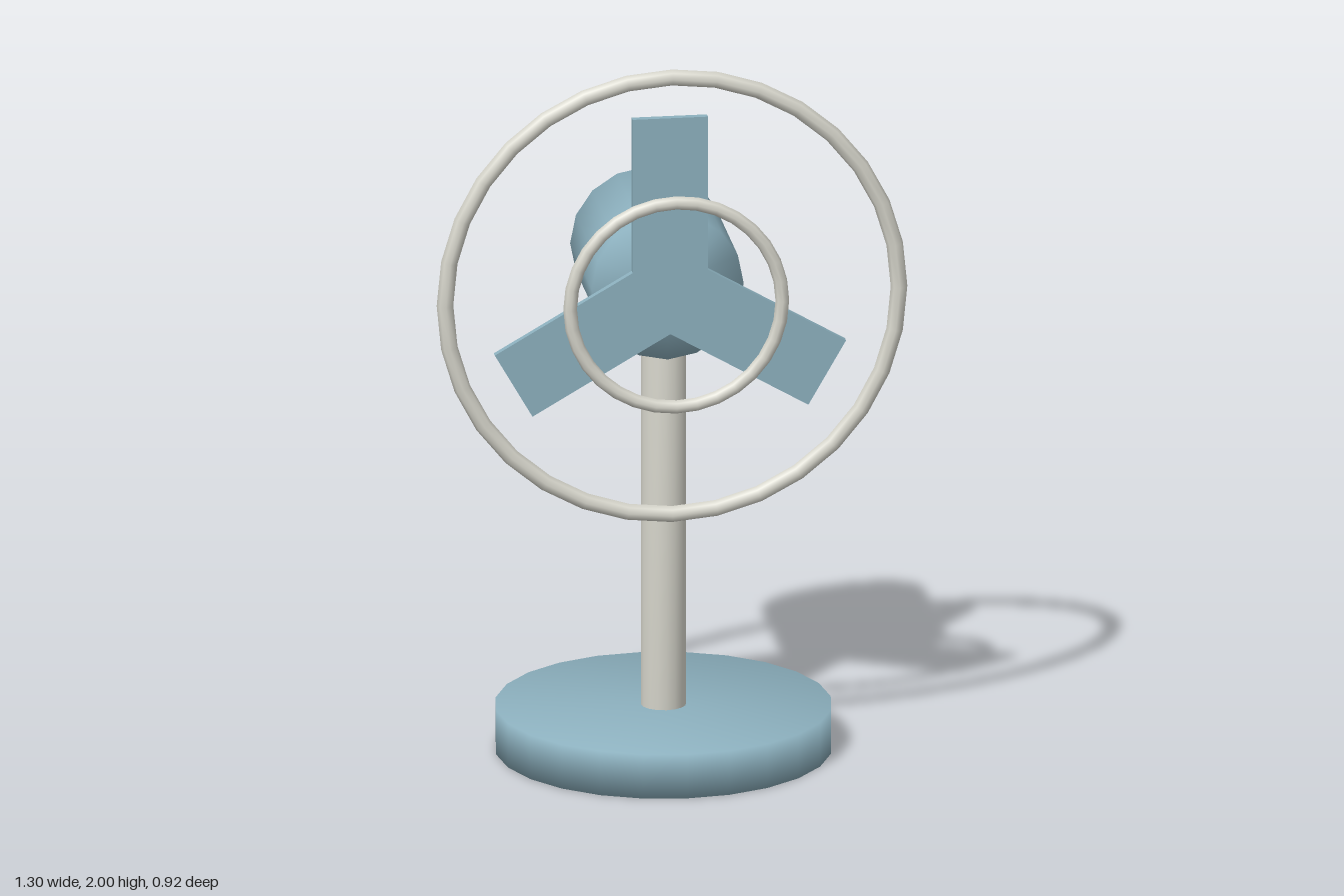
import * as THREE from 'three';
import { mergeVertices } from 'three/addons/utils/BufferGeometryUtils.js';

// Cylinder whose caps and wall share soft normals
function softCylinder(radius, height, sides) {
  const g = new THREE.CylinderGeometry(radius, radius, height, sides);
  g.deleteAttribute('normal');
  g.deleteAttribute('uv');
  const soft = mergeVertices(g, 1e-4);
  soft.computeVertexNormals();
  return soft;
}

export function createModel() {
  const group = new THREE.Group();
  group.name = 'deskFan';

  const blue = new THREE.MeshStandardMaterial({ color: 0x8cb0be });
  blue.name = 'dusty blue';
  const grey = new THREE.MeshStandardMaterial({ color: 0xd6d5cb });
  grey.name = 'warm light grey';

  const hubY = 1.35;
  const add = (name, geometry, material, x, y, z, parent = group) => {
    const mesh = new THREE.Mesh(geometry, material);
    mesh.name = name;
    mesh.position.set(x, y, z);
    parent.add(mesh);
    return mesh;
  };

  // Round foot and upright
  add('base', softCylinder(0.462, 0.126, 24), blue, 0, 0.063, 0);
  add('pole', softCylinder(0.0625, 1.05, 16), grey, 0, 0.63, 0);

  // Motor housing lies along z, behind the blades
  add('motor', softCylinder(0.21, 0.42, 16).rotateX(Math.PI / 2), blue, 0, hubY, -0.127);

  // Three flat blades meeting at the hub
  const blades = new THREE.Group();
  blades.name = 'blades';
  blades.position.set(0, hubY, 0.126);
  group.add(blades);
  const bladeShape = new THREE.BoxGeometry(0.208, 0.5, 0.021).translate(0, 0.25, 0);
  for (let i = 0; i < 3; i++) {
    add(`blade${i + 1}`, bladeShape, blue, 0, 0, 0, blades).rotation.z = (i * Math.PI * 2) / 3;
  }

  // Guard rings in front of the blades
  add('outerGuardRing', new THREE.TorusGeometry(0.627, 0.023, 8, 32), grey, 0, hubY, 0.167);
  add('innerGuardRing', new THREE.TorusGeometry(0.293, 0.019, 8, 32), grey, 0, hubY, 0.25);

  return group;
}
